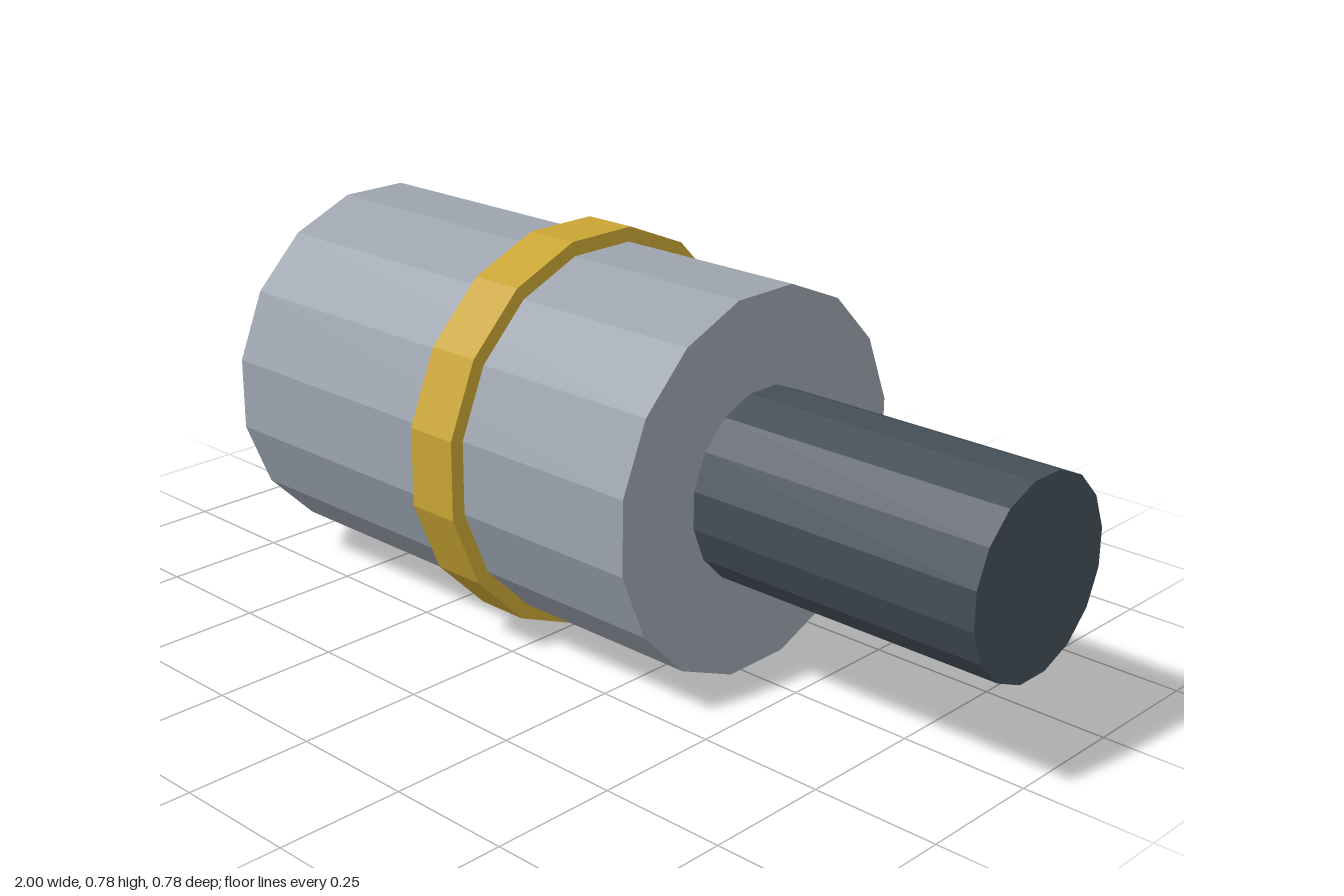
import * as THREE from 'three';

const SIDES = 16;
const AXIS_Y = 0.391;

const mat = (name, color) => {
  const m = new THREE.MeshStandardMaterial({ color });
  m.name = name;
  m.flatShading = true;
  return m;
};

export function createModel() {
  const model = new THREE.Group();
  model.name = 'plunger';
  const steel = mat('light steel', 0x9ca3ad);
  const noseSteel = mat('nose steel', 0x919aa2);
  const tipSteel = mat('tip steel', 0x5e6870);
  const dark = mat('dark steel', 0x444e58);
  const gold = mat('gold', 0xc9a434);

  // Tapered section along x, with a flat facet on top
  const section = (name, x0, x1, r0, r1, material, open = false) => {
    const geo = new THREE.CylinderGeometry(r1, r0, x1 - x0, SIDES, 1, open);
    geo.rotateY(Math.PI / SIDES);
    geo.rotateZ(-Math.PI / 2);
    const mesh = new THREE.Mesh(geo, material);
    mesh.name = name;
    mesh.position.set((x0 + x1) / 2, AXIS_Y, 0);
    model.add(mesh);
  };

  section('tip', -1, -0.925, 0, 0.148, tipSteel, true);
  section('nose', -0.925, -0.667, 0.148, 0.369, noseSteel, true);
  section('body', -0.667, 0.402, 0.369, 0.369, steel);
  section('band', -0.112, -0.002, 0.398, 0.398, gold);
  section('shaft', 0.402, 1, 0.185, 0.185, dark);
  return model;
}
